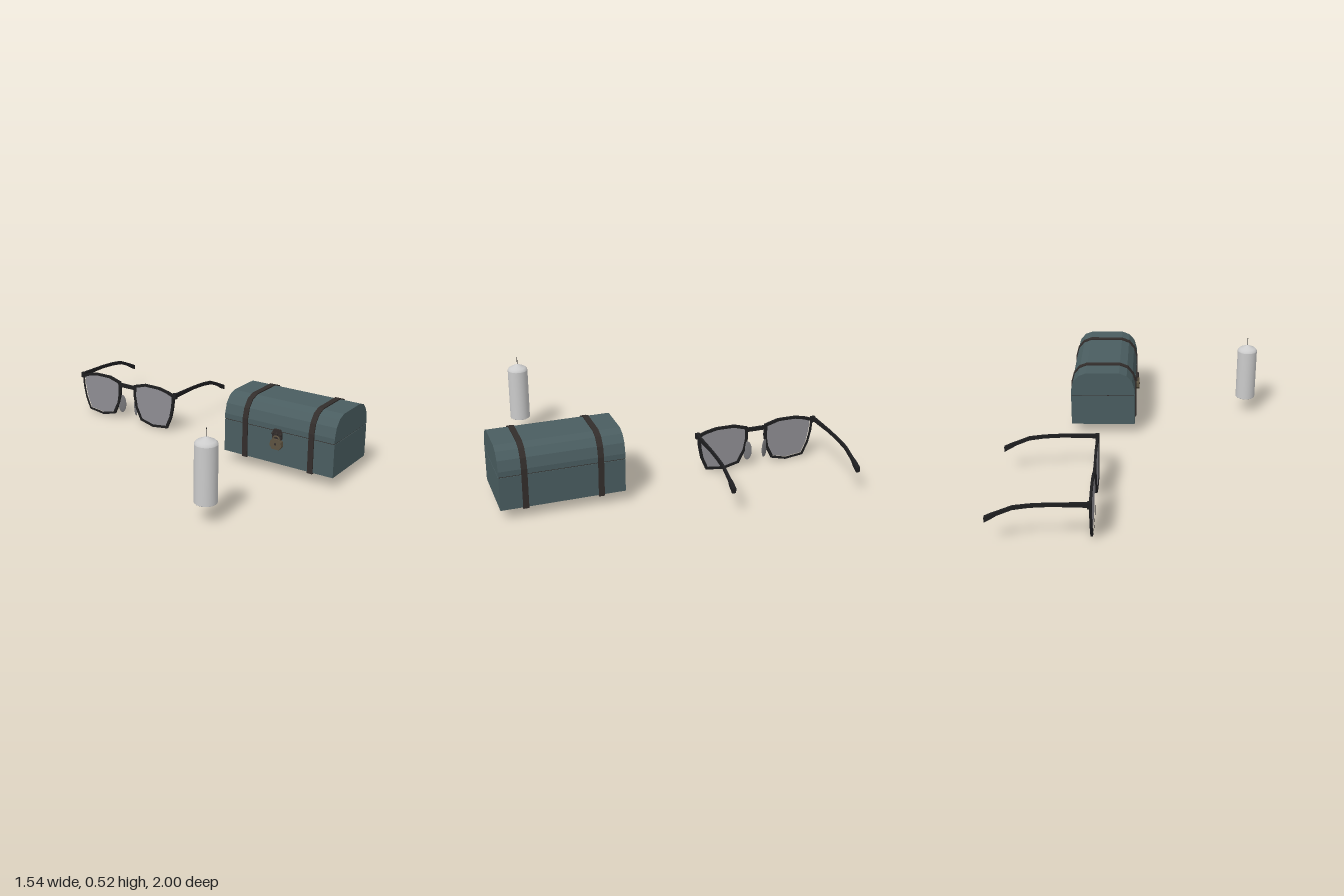
import * as THREE from 'three';

const mat = (color, extra = {}) => new THREE.MeshStandardMaterial({ color, ...extra });
const flat = { flatShading: true };
const M = {
  wax: mat(0xcccccc),
  wick: mat(0x2a2a2a),
  chest: mat(0x4a5d60, flat),
  strap: mat(0x322d2b, flat),
  brass: mat(0x5c5240, flat),
  frame: mat(0x1e1e20, flat),
  lens: mat(0x8e8d92, { side: THREE.DoubleSide }),
  pad: mat(0x77777a),
};

function add(parent, name, geometry, material, x = 0, y = 0, z = 0) {
  const mesh = new THREE.Mesh(geometry, material);
  mesh.name = name;
  mesh.position.set(x, y, z);
  parent.add(mesh);
  return mesh;
}

function group(parent, name, x = 0, y = 0, z = 0) {
  const g = new THREE.Group();
  g.name = name;
  g.position.set(x, y, z);
  parent.add(g);
  return g;
}

const shapeOf = pts => new THREE.Shape(pts.map(p => new THREE.Vector2(...p)));
const extrude = (shape, depth) => new THREE.ExtrudeGeometry(shape, { depth, bevelEnabled: false });
// Turns an XY outline into a ZY outline, its depth running towards -x
const sideways = geometry => geometry.rotateY(-Math.PI / 2);

// Square tube through stations of [x, y, height, width]
function loft(stations) {
  const pos = [], idx = [];
  for (const [x, y, h, w] of stations)
    for (const [a, b] of [[-1, -1], [-1, 1], [1, 1], [1, -1]]) pos.push(x, y + a * h / 2, b * w / 2);
  const last = (stations.length - 1) * 4;
  for (let i = 0; i < last; i += 4)
    for (let k = 0; k < 4; k++) {
      const a = i + k, b = i + (k + 1) % 4;
      idx.push(a, a + 4, b, b, a + 4, b + 4);
    }
  idx.push(0, 1, 2, 0, 2, 3, last, last + 2, last + 1, last, last + 3, last + 2);
  const g = new THREE.BufferGeometry();
  g.setAttribute('position', new THREE.Float32BufferAttribute(pos, 3));
  g.setIndex(idx);
  const out = g.toNonIndexed();
  out.computeVertexNormals();
  return out;
}

function candle(parent) {
  const g = group(parent, 'candle', -0.71, 0.112, 0.643);
  const side = [[0.06, 0], [0.0625, 0.003], [0.0625, 0.325]];
  const top = [[0.0625, 0.325], [0.059, 0.334], [0.05, 0.342], [0.004, 0.364], [0, 0.365]];
  const lathe = pts => new THREE.LatheGeometry(pts.map(p => new THREE.Vector2(...p)), 32);
  add(g, 'candleBody', lathe(side), M.wax);
  add(g, 'candleTop', lathe(top), M.wax);
  add(g, 'candleBase', new THREE.CircleGeometry(0.06, 32).rotateX(Math.PI / 2), M.wax);
  add(g, 'wick', new THREE.CylinderGeometry(0.002, 0.002, 0.05, 8), M.wick, 0, 0.386, 0);
}

function chest(parent) {
  const g = group(parent, 'chest', 0.2165, 0, 0.643);
  const length = 0.713;
  // Faceted arch, mirrored to both sides, grown outwards by e
  const arch = (base, e) => {
    const half = [[0.2 + e, base], [0.2 + e, 0.305], [0.184 + e, 0.364], [0.15 + e * 0.7, 0.405 + e * 0.7], [0.103, 0.423 + e]];
    return shapeOf([...half, ...half.map(([x, y]) => [-x, y]).reverse()]);
  };
  add(g, 'chestBody', new THREE.BoxGeometry(0.4, 0.197, length), M.chest, 0, 0.1705, 0);
  add(g, 'seam', new THREE.BoxGeometry(0.394, 0.01, length - 0.006), M.strap, 0, 0.271, 0);
  add(g, 'lid', extrude(arch(0.274, 0), length), M.chest, 0, 0, -length / 2);
  for (const s of [-1, 1])
    add(g, 'strap', extrude(arch(0.066, 0.007), 0.033), M.strap, 0, 0, s * 0.215 - 0.0165);

  // Clasp on the long side
  const lock = group(g, 'lock', -0.2, 0, 0);
  const hasp = shapeOf([[-0.03, 0.225], [0.03, 0.225], [0.032, 0.262], [0.02, 0.285], [-0.02, 0.285], [-0.032, 0.262]]);
  add(lock, 'hasp', sideways(extrude(hasp, 0.012)), M.strap);
  for (const z of [-0.026, 0, 0.026])
    add(lock, 'stud', new THREE.SphereGeometry(0.009, 8, 6), M.strap, -0.012, 0.258, z);
  const body = shapeOf([[-0.022, 0.167], [0.022, 0.167], [0.038, 0.188], [0.034, 0.215], [0.022, 0.228], [-0.022, 0.228], [-0.034, 0.215], [-0.038, 0.188]]);
  add(lock, 'padlock', sideways(extrude(body, 0.025)), M.brass);
  add(lock, 'shackle', new THREE.TorusGeometry(0.02, 0.005, 6, 12, Math.PI).rotateY(Math.PI / 2), M.brass, -0.016, 0.226, 0);
  add(lock, 'keyhole', new THREE.CylinderGeometry(0.007, 0.007, 0.004, 8).rotateZ(Math.PI / 2), M.strap, -0.025, 0.2, 0);
}

function glasses(parent) {
  const g = group(parent, 'glasses', 0, 0, -0.603);
  // Rim outline as [distance from the nose, height]
  const outline = [[0.378, 0.25], [0.33, 0.268], [0.26, 0.283], [0.142, 0.283], [0.056, 0.258], [0.053, 0.187],
    [0.067, 0.11], [0.108, 0.028], [0.206, 0.004], [0.322, 0.018], [0.356, 0.096], [0.373, 0.176]];
  const inner = outline.map(([u, v]) => [0.215 + (u - 0.215) * 0.89, 0.145 + (v - 0.145) * 0.89]);
  for (const s of [-1, 1]) {
    const flip = pts => pts.map(([u, v]) => [u * s, v]);
    const rim = shapeOf(flip(outline));
    rim.holes.push(shapeOf(flip(inner)));
    add(g, 'rim', sideways(extrude(rim, 0.014)), M.frame, 0.225);
    add(g, 'lens', sideways(extrude(shapeOf(flip(inner)), 0.003)), M.lens, 0.219);
    add(g, 'endPiece', new THREE.BoxGeometry(0.022, 0.034, 0.026), M.frame, 0.222, 0.247, s * 0.379);

    // Temple arm, bending down to a thicker tip
    const arm = loft([[0.215, 0.25, 0.026, 0.014], [0.42, 0.25, 0.021, 0.011], [0.53, 0.243, 0.021, 0.011],
      [0.62, 0.23, 0.023, 0.012], [0.7, 0.196, 0.023, 0.014], [0.725, 0.183, 0.025, 0.023], [0.77, 0.159, 0.03, 0.024]]);
    add(g, 'templeArm', arm, M.frame, 0, 0, s * 0.383);

    const pad = add(g, 'nosePad', new THREE.SphereGeometry(1, 16, 12), M.pad, 0.229, 0.105, s * 0.056);
    pad.scale.set(0.005, 0.06, 0.026);
    pad.rotation.y = -s * 0.52;
  }
  add(g, 'bridge', new THREE.BoxGeometry(0.014, 0.024, 0.13), M.frame, 0.218, 0.238, 0);
}

export function createModel() {
  const model = new THREE.Group();
  model.name = 'stillLife';
  candle(model);
  chest(model);
  glasses(model);
  return model;
}
